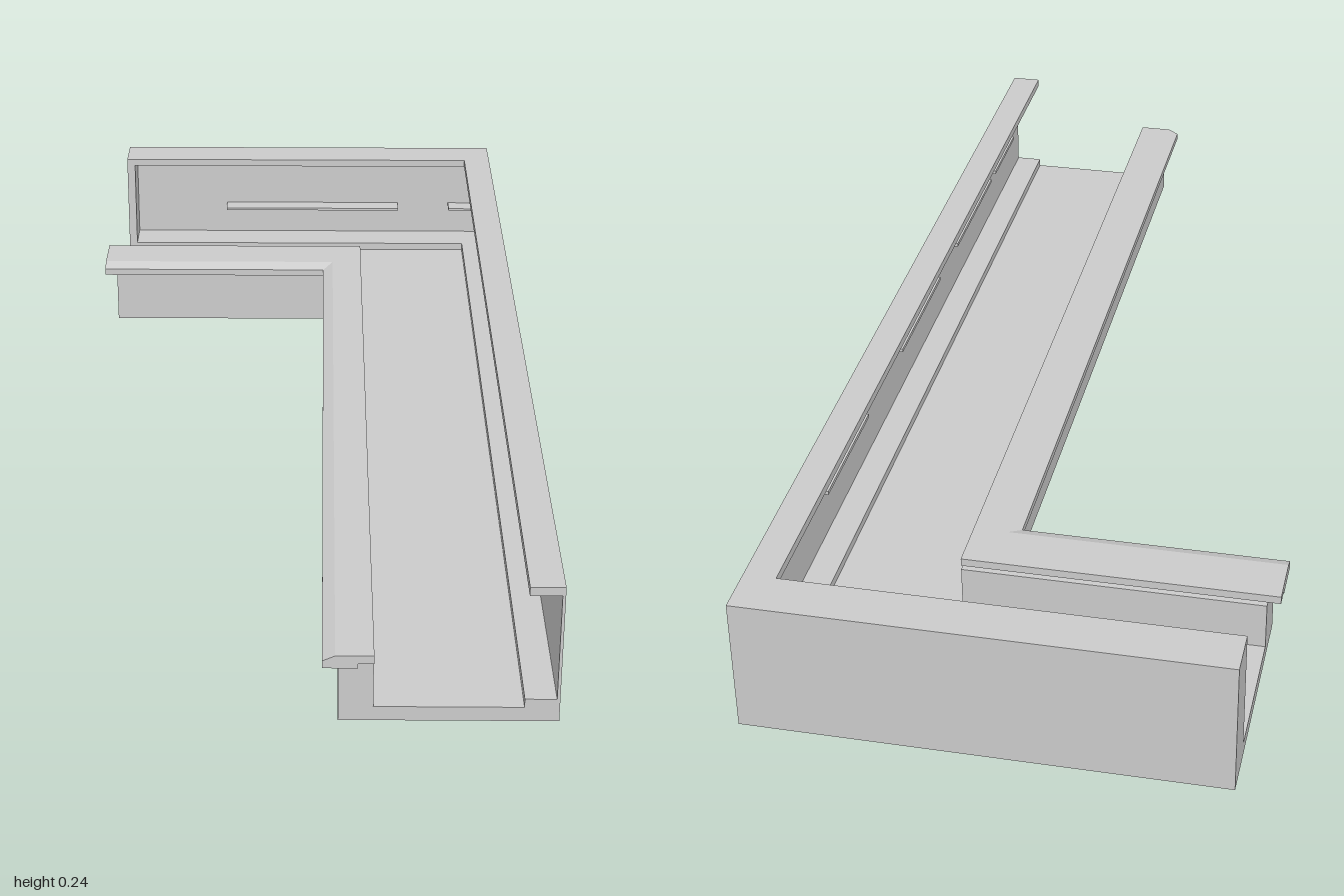
import * as THREE from 'three';

const material = new THREE.MeshStandardMaterial({ color: 0xcccccc, flatShading: true });

// Sweep a mitred profile round the L. Each point is [x on long arm, z on short arm, y],
// listed counter-clockwise as seen from the front end.
function sweepL(name, profile, endZ, endX) {
  const rings = [
    profile.map(([x, , y]) => [x, y, endZ]),
    profile.map(([x, z, y]) => [x, y, z]),
    profile.map(([, z, y]) => [endX, y, z]),
  ];
  const pos = [];
  const tri = (a, b, c) => pos.push(...a, ...b, ...c);
  const n = profile.length;
  for (let r = 0; r < 2; r++) {
    for (let i = 0; i < n; i++) {
      const j = (i + 1) % n;
      tri(rings[r][i], rings[r + 1][i], rings[r + 1][j]);
      tri(rings[r][i], rings[r + 1][j], rings[r][j]);
    }
  }
  // End caps
  const outline = profile.map(([x, , y]) => new THREE.Vector2(x, y));
  for (const [a, b, c] of THREE.ShapeUtils.triangulateShape(outline, [])) {
    tri(rings[0][a], rings[0][b], rings[0][c]);
    tri(rings[2][a], rings[2][c], rings[2][b]);
  }
  const geometry = new THREE.BufferGeometry();
  geometry.setAttribute('position', new THREE.Float32BufferAttribute(pos, 3));
  geometry.computeVertexNormals();
  const mesh = new THREE.Mesh(geometry, material);
  mesh.name = name;
  return mesh;
}

// Box given by its limits
function block(name, x0, x1, y0, y1, z0, z1) {
  const mesh = new THREE.Mesh(new THREE.BoxGeometry(x1 - x0, y1 - y0, z1 - z0), material);
  mesh.position.set((x0 + x1) / 2, (y0 + y1) / 2, (z0 + z1) / 2);
  mesh.name = name;
  return mesh;
}

export function createModel() {
  const model = new THREE.Group();
  model.name = 'cornerTrough';

  // Floor, thin outer wall with rim and ledge, and low inner wall
  model.add(sweepL('trough', [
    [0.07, -0.58, 0], [0.415, -1, 0], [0.415, -1, 0.24], [0.36, -0.917, 0.24],
    [0.36, -0.917, 0.225], [0.41, -0.993, 0.225], [0.41, -0.993, 0.04],
    [0.36, -0.917, 0.04], [0.36, -0.917, 0.025], [0.125, -0.67, 0.025],
    [0.125, -0.67, 0.11], [0.07, -0.58, 0.11],
  ], 0.975, -0.395));

  // Overhanging lip with a sloped nose, longer than the trough at both ends
  model.add(sweepL('innerLip', [
    [0.045, -0.557, 0.11], [0.1, -0.63, 0.11], [0.1, -0.63, 0.118], [0.125, -0.67, 0.118],
    [0.125, -0.67, 0.132], [0.065, -0.58, 0.132], [0.045, -0.557, 0.123],
  ], 1, -0.418));

  // Post closing the rim at the short end
  model.add(block('endPost', -0.395, -0.378, 0.01, 0.235, -0.997, -0.917));

  // Small ribs inside the long wall
  for (const [z0, z1] of [[-0.57, -0.32], [-0.09, 0.19], [0.33, 0.62], [0.66, 0.83]]) {
    model.add(block('longWallRib', 0.385, 0.412, 0.159, 0.166, z0, z1));
  }
  // Small ribs inside the short wall
  for (const [x0, x1] of [[-0.175, 0.215], [0.33, 0.385]]) {
    model.add(block('shortWallRib', x0, x1, 0.105, 0.11, -0.996, -0.955));
  }
  return model;
}
